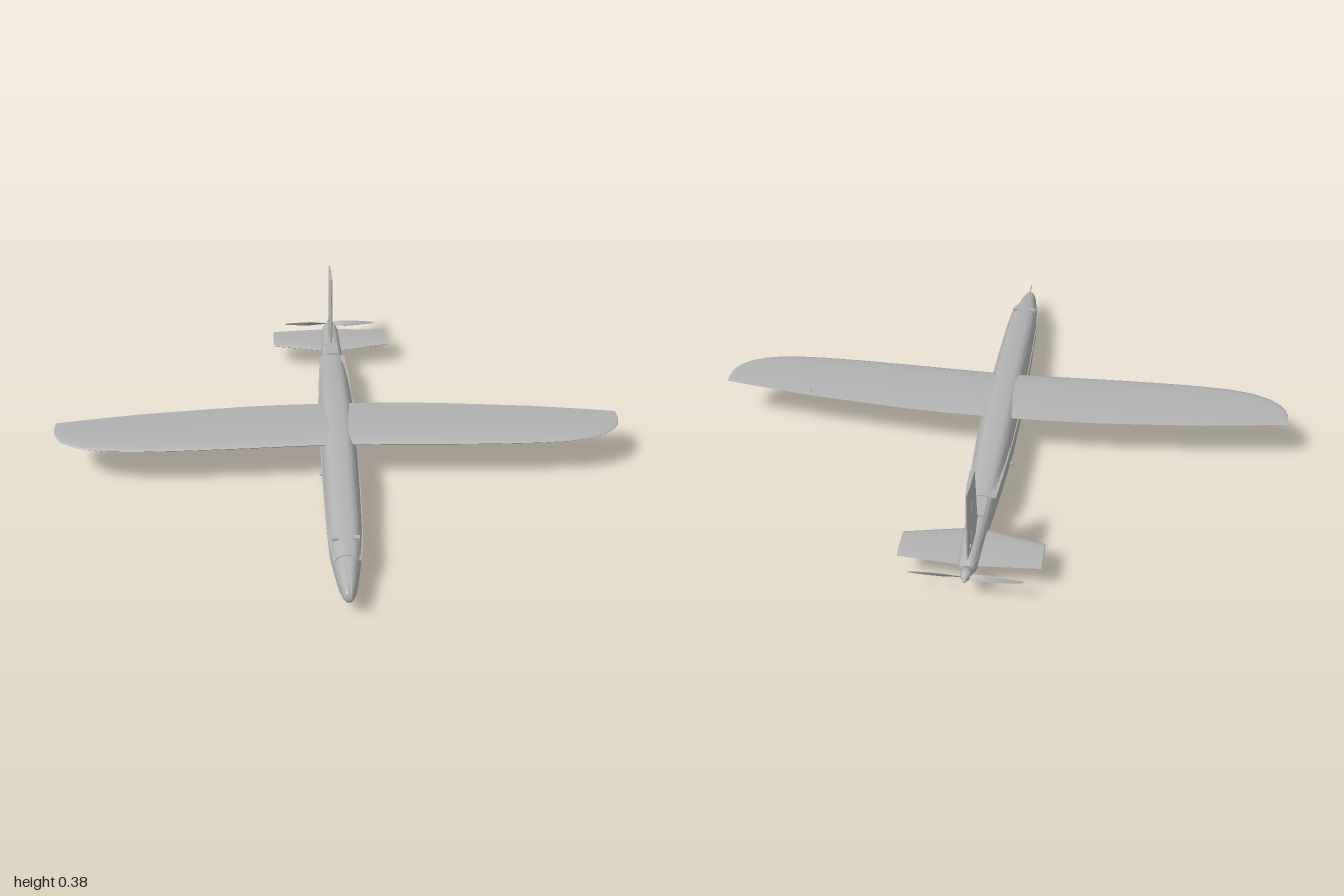
import * as THREE from 'three';
import { toCreasedNormals } from 'three/addons/utils/BufferGeometryUtils.js';

const V = (x, y, z) => new THREE.Vector3(x, y, z);

// Closed skin through equal-sized rings of points, capped at both ends, facing outward.
function loft(rings, crease = 0.7) {
  const n = rings[0].length;
  const pts = rings.flat();
  const faces = [];
  for (let r = 0; r < rings.length - 1; r++) {
    for (let i = 0; i < n; i++) {
      const a = r * n + i, b = r * n + (i + 1) % n;
      faces.push([a, b, b + n], [a, b + n, a + n]);
    }
  }
  [0, rings.length - 1].forEach((r, end) => {
    const c = pts.length;
    pts.push(rings[r].reduce((s, p) => s.add(p), V(0, 0, 0)).divideScalar(n));
    for (let i = 0; i < n; i++) {
      const a = r * n + i, b = r * n + (i + 1) % n;
      faces.push(end ? [c, a, b] : [c, b, a]);
    }
  });
  // a negative enclosed volume means the winding is inside out
  let volume = 0;
  for (const [a, b, c] of faces) volume += pts[a].dot(pts[b].clone().cross(pts[c]));
  if (volume < 0) faces.forEach((f) => f.reverse());
  const g = new THREE.BufferGeometry().setFromPoints(pts);
  g.setIndex(faces.flat());
  return toCreasedNormals(g, crease);
}

// Airfoil outline as [chord position 0..1 from leading edge, thickness -0.5..0.5].
const FOIL = [];
for (let i = 0; i < 28; i++) {
  const a = (i / 28) * Math.PI * 2;
  const u = (1 - Math.cos(a)) / 2;
  const t = 1.3 * Math.sqrt(u) * (1 - u) + 0.03 * u;
  FOIL.push([u, Math.sign(Math.sin(a)) * Math.min(t, 0.5)]);
}

// Fuselage stations: z, top, bottom, half width
const STATIONS = [
  [0.855, 0.08, 0.068, 0.006], [0.845, 0.098, 0.056, 0.015], [0.8, 0.114, 0.041, 0.028],
  [0.7, 0.133, 0.028, 0.043], [0.6, 0.147, 0.021, 0.053], [0.4, 0.168, 0.01, 0.059],
  [0.2, 0.181, 0.003, 0.062], [0, 0.185, 0.002, 0.063], [-0.2, 0.177, 0.012, 0.061],
  [-0.4, 0.156, 0.031, 0.052], [-0.55, 0.138, 0.046, 0.043], [-0.7, 0.131, 0.058, 0.036],
  [-0.8, 0.125, 0.065, 0.031], [-0.835, 0.113, 0.075, 0.02],
];
const CURVES = [1, 2, 3].map((k) => new THREE.SplineCurve(STATIONS.map((s) => new THREE.Vector2(s[0], s[k]))));

// Rounded-box cross-section at t along the body, grown outward by d.
function section(t, d = 0, floor = -1) {
  const [top, bottom, half] = CURVES.map((c) => c.getPoint(t));
  const box = Math.sin(Math.PI * Math.min(1, Math.max(0, t))) ** 0.6;
  const e = 1 - 0.42 * box;
  const mid = (top.y + bottom.y) / 2, h = (top.y - bottom.y) / 2 + d, w = half.y + d;
  const ring = [];
  for (let i = 0; i < 40; i++) {
    const a = (i / 40) * Math.PI * 2, c = Math.cos(a), s = Math.sin(a);
    const v = Math.sign(s) * Math.abs(s) ** e;
    const x = w * Math.sign(c) * Math.abs(c) ** e * (1 - 0.14 * box * Math.max(0, v));
    ring.push(V(x, Math.max(floor, mid + h * v), top.x));
  }
  return ring;
}

export function createModel() {
  const model = new THREE.Group();
  const grey = new THREE.MeshStandardMaterial({ color: 0xb2b2b2 });
  grey.name = 'light grey';
  const add = (name, geometry, x = 0, y = 0, z = 0, parent = model) => {
    const m = new THREE.Mesh(geometry, grey);
    m.name = name;
    m.position.set(x, y, z);
    parent.add(m);
    return m;
  };

  // Fuselage and the long raised upper deck
  const steps = Array.from({ length: 91 }, (_, i) => i / 90);
  add('fuselage', loft(steps.map((t) => section(t))));
  const deck = steps.filter((t) => {
    const z = CURVES[0].getPoint(t).x;
    return z < 0.72 && z > -0.54;
  });
  add('upperDeck', loft(deck.map((t) => {
    const z = CURVES[0].getPoint(t).x;
    return section(t, 0.003, 0.126 - 0.02 * z);
  }), 0.6));

  // Main wing, stations: x, leading z, trailing z, thickness
  const half = [
    [0.06, 0.143, -0.125, 0.03], [0.2, 0.147, -0.123, 0.028], [0.35, 0.153, -0.115, 0.026],
    [0.55, 0.158, -0.096, 0.023], [0.7, 0.158, -0.081, 0.02], [0.8, 0.152, -0.066, 0.018],
    [0.88, 0.137, -0.054, 0.016], [0.94, 0.11, -0.044, 0.013], [0.975, 0.08, -0.038, 0.01],
    [0.993, 0.05, -0.035, 0.007], [1, 0.02, -0.033, 0.004],
  ];
  const span = [...half.map(([x, ...r]) => [-x, ...r]).reverse(), ...half];
  add('wing', loft(span.map(([x, lead, trail, t]) =>
    FOIL.map(([u, v]) => V(x, 0.168 + v * t, lead + (trail - lead) * u)))));

  // Tailplane
  const tail = [[-0.228, -0.68, -0.796], [-0.03, -0.636, -0.81], [0.03, -0.636, -0.81], [0.228, -0.68, -0.796]];
  add('tailplane', loft(tail.map(([x, lead, trail]) =>
    FOIL.map(([u, v]) => V(x, 0.096 + v * 0.014, lead + (trail - lead) * u)))));

  // Fin and rudder, separated by a narrow hinge gap
  const finLead = (y) => -0.62 - 0.072 * (y - 0.13) / 0.25;
  const upright = (y0, y1, lead, trail, t0, t1) => loft([y0, y1].map((y) =>
    [[lead(y), t0], [lead(y), -t0], [trail, -t1], [trail, t1]].map(([z, x]) => V(x, y, z))));
  add('finFront', upright(0.11, 0.381, finLead, -0.66 - 0.035, 0.0015, 0.0075));
  add('fin', upright(0.11, 0.381, () => -0.695, -0.76, 0.0075, 0.006));
  add('rudder', upright(0.13, 0.381, () => -0.764, -0.819, 0.006, 0.002));
  add('rudderHinge', new THREE.CylinderGeometry(0.004, 0.004, 0.23, 8), 0, 0.25, -0.762);

  // Pusher propeller
  const propeller = new THREE.Group();
  propeller.name = 'propeller';
  propeller.position.set(0, 0.095, -0.862);
  model.add(propeller);
  const blade = loft([[0.005, 0.01, 1], [0.035, 0.02, 0.75], [0.07, 0.023, 0.5],
    [0.12, 0.017, 0.35], [0.165, 0.01, 0.25], [0.183, 0.003, 0.2]].map(([x, chord, twist]) =>
    FOIL.map(([u, v]) => {
      const c = (u - 0.5) * chord, t = v * chord * 0.18;
      return V(x, c * Math.cos(twist) + t * Math.sin(twist), t * Math.cos(twist) - c * Math.sin(twist));
    })));
  add('blade', blade, 0, 0, 0, propeller);
  add('blade', blade, 0, 0, 0, propeller).rotation.z = Math.PI;
  const spinner = new THREE.LatheGeometry([[0, -0.032], [0.02, -0.03], [0.018, -0.01], [0.014, 0.003],
    [0.007, 0.012], [0.005, 0.022], [0, 0.026]].map((p) => new THREE.Vector2(...p)), 24);
  add('spinner', spinner, 0, 0, 0, propeller).rotation.x = -Math.PI / 2;

  // Nose probe
  add('noseProbe', new THREE.CylinderGeometry(0.0022, 0.0022, 0.1, 8), 0, 0.108, 0.836).rotation.x = Math.PI / 2;

  // Small fittings on both sides
  const knob = new THREE.SphereGeometry(0.007, 14, 10);
  const cover = new THREE.BoxGeometry(0.07, 0.003, 0.045);
  const horn = new THREE.BoxGeometry(0.004, 0.014, 0.016);
  for (const s of [-1, 1]) {
    add('sideKnobFront', knob, s * 0.063, 0.04, 0.135);
    add('sideKnobRear', knob, s * 0.063, 0.057, -0.235);
    add('deckLatch', new THREE.BoxGeometry(0.022, 0.01, 0.016), s * 0.033, 0.142, 0.635);
    add('tailLatch', new THREE.BoxGeometry(0.006, 0.006, 0.05), s * 0.035, 0.137, -0.5);
    for (const x of [0.44, 0.65]) {
      add('servoCover', cover, s * x, 0.1585, -0.01);
      add('controlHorn', horn, s * (x + 0.035), 0.167, -0.055);
    }
    add('rudderHorn', new THREE.CylinderGeometry(0.008, 0.008, 0.004, 12), s * 0.006, 0.155, -0.785).rotation.z = Math.PI / 2;
  }
  // Rear deck hatch
  add('rearHatch', new THREE.BoxGeometry(0.045, 0.006, 0.09), 0, 0.14, -0.575).rotation.x = -0.06;
  return model;
}
